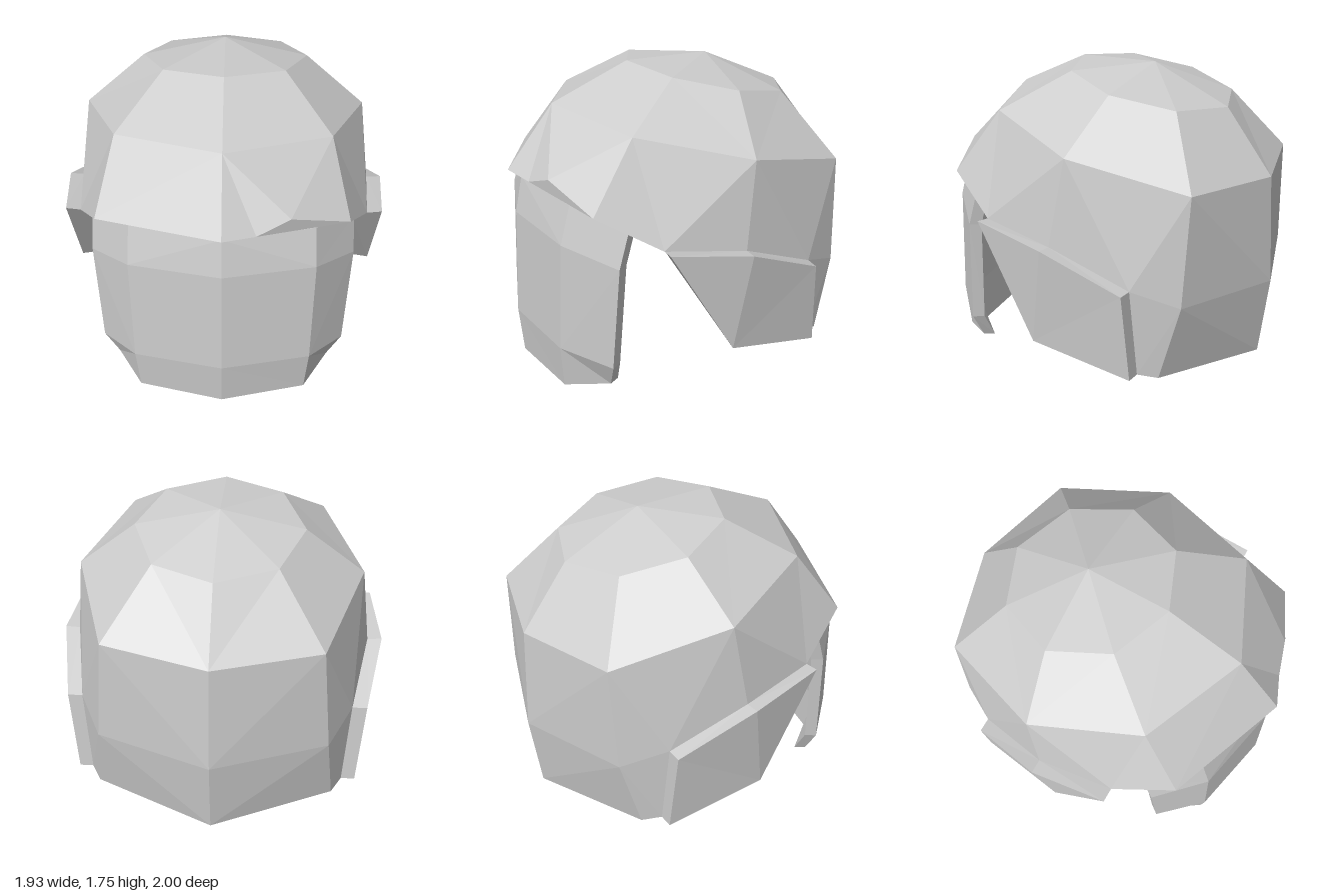
import * as THREE from 'three';

const mirrorFaces = faces => faces.map(f => f.map(([x, y, z]) => [-x || 0, y, z]).reverse());
const key = p => p.map(v => v.toFixed(3)).join();
const dist = (p, q) => Math.hypot(p[0] - q[0], p[1] - q[1], p[2] - q[2]);
const dropRepeats = face => face.filter((p, i) => key(p) !== key(face[(i + 1) % face.length]));

// Turns polygons into a solid: outer skin, reversed inner skin, and walls along open edges
function thicken(faces, inner) {
  const polys = [], edges = new Map();
  for (const face of faces) {
    let f = dropRepeats(face);
    if (f.length < 3) continue;
    // Split quads along their shorter diagonal
    if (f.length === 4 && dist(f[1], f[3]) < dist(f[0], f[2])) f = [f[1], f[2], f[3], f[0]];
    polys.push(f, [f[0], ...f.slice(1).reverse()].map(inner));
    f.forEach((p, i) => {
      const q = f[(i + 1) % f.length];
      edges.set(key(p) + '|' + key(q), [p, q]);
    });
  }
  for (const [p, q] of edges.values()) {
    if (!edges.has(key(q) + '|' + key(p))) polys.push([q, p, inner(p), inner(q)]);
  }
  const pos = [];
  for (const f of polys.map(dropRepeats)) {
    for (let i = 1; i < f.length - 1; i++) pos.push(...f[0], ...f[i], ...f[i + 1]);
  }
  const geo = new THREE.BufferGeometry();
  geo.setAttribute('position', new THREE.Float32BufferAttribute(pos, 3));
  geo.computeVertexNormals();
  return geo;
}

// Quads between neighbouring columns, each listed from top to bottom
function gridFaces(columns) {
  const faces = [];
  for (let c = 0; c < columns.length - 1; c++) {
    const a = columns[c], b = columns[c + 1];
    for (let r = 0; r < Math.min(a.length, b.length) - 1; r++) faces.push([a[r], a[r + 1], b[r + 1], b[r]]);
  }
  return faces;
}

export function createModel() {
  const group = new THREE.Group();
  const material = new THREE.MeshStandardMaterial({ color: 0xcccccc, flatShading: true });
  const add = (name, geo) => {
    const mesh = new THREE.Mesh(geo, material);
    mesh.name = name;
    group.add(mesh);
  };

  // Helmet shell: columns from the front round to the back of one half
  const apex = [0, 1.75, -0.22];
  const sideTop = [0.48, 1.64, -0.21], sideMid = [0.82, 1.36, -0.15];
  const front = [apex, [0, 1.745, 0.27], [0, 1.545, 0.72], [0, 1.185, 0.995]];
  const frontSide = [apex, [0.34, 1.715, 0.13], [0.59, 1.495, 0.46], [0.69, 1.12, 0.72]];

  // Ear area of the shell, and the same outline raised outwards as the ear pad
  const ear = [[0.83, 0.93, 0.38], [0.88, 0.87, -0.08], [0.785, 0.68, -0.53], [0.75, 0.18, -0.56], [0.84, 0.305, 0.01]];
  const pad = [[0.915, 0.94, 0.38], [0.965, 0.875, -0.08], [0.87, 0.68, -0.53], [0.83, 0.18, -0.56], [0.925, 0.305, 0.01]];
  const earPad = [[pad[0], pad[4], pad[1]], [pad[1], pad[4], pad[3], pad[2]]];
  for (let i = 0; i < 3; i++) earPad.push([ear[i], pad[i], pad[i + 1], ear[i + 1]]);

  const half = [
    ...gridFaces([
      front,
      frontSide,
      [apex, sideTop, sideMid, ear[0]],
      [apex, sideTop, sideMid, ear[1]],
      [apex, sideTop, sideMid, ear[2], ear[3]],
      [apex, [0.34, 1.565, -0.55], [0.6, 1.2, -0.79], [0.65, 0.585, -0.77], [0.69, 0.16, -0.66]],
      [apex, [0, 1.54, -0.69], [0, 1.18, -0.97], [0, 0.56, -1], [0, 0.1, -0.94]],
    ]),
    ...earPad,
  ];

  // The left brim has a small raised peak above its edge
  const peakStart = [0.18, 1.168, 0.923], peak = [0.36, 1.235, 0.86];
  const leftHalf = half.filter((f, i) => i !== 2).concat([
    [front[2], front[3], peakStart],
    [front[2], peakStart, peak],
    [peakStart, frontSide[3], peak],
    [peak, frontSide[3], frontSide[2]],
    [front[2], peak, frontSide[2]],
  ]);

  // The inner skin is a shrunken copy that stays smooth behind the ear pads
  const shellInner = ([px, py, pz]) => {
    const i = pad.findIndex(p => key(p) === key([Math.abs(px), py, pz]));
    const [x, y, z] = i < 0 ? [px, py, pz] : [Math.sign(px) * ear[i][0], ear[i][1], ear[i][2]];
    return [x * 0.89, 0.62 + (y - 0.62) * 0.9, z * (z < 0 ? 0.9 : 0.92)];
  };
  add('helmetShellWithEarPads', thicken([...leftHalf, ...mirrorFaces(half)], shellInner));

  // Curved face visor under the brim
  const visorHalf = gridFaces([
    [[0, 1.14, 0.92], [0, 0.92, 0.965], [0, 0.28, 0.995], [0, 0, 0.97]],
    [[0.5, 1.13, 0.79], [0.51, 0.91, 0.85], [0.5, 0.27, 0.88], [0.48, 0.01, 0.86]],
    [[0.73, 1.03, 0.54], [0.74, 0.82, 0.6], [0.71, 0.2, 0.64], [0.63, 0.05, 0.63]],
  ]);
  add('visor', thicken([...visorHalf, ...mirrorFaces(visorHalf)],
    ([x, y, z]) => [x * 0.94, y, z - 0.055]));

  return group;
}
